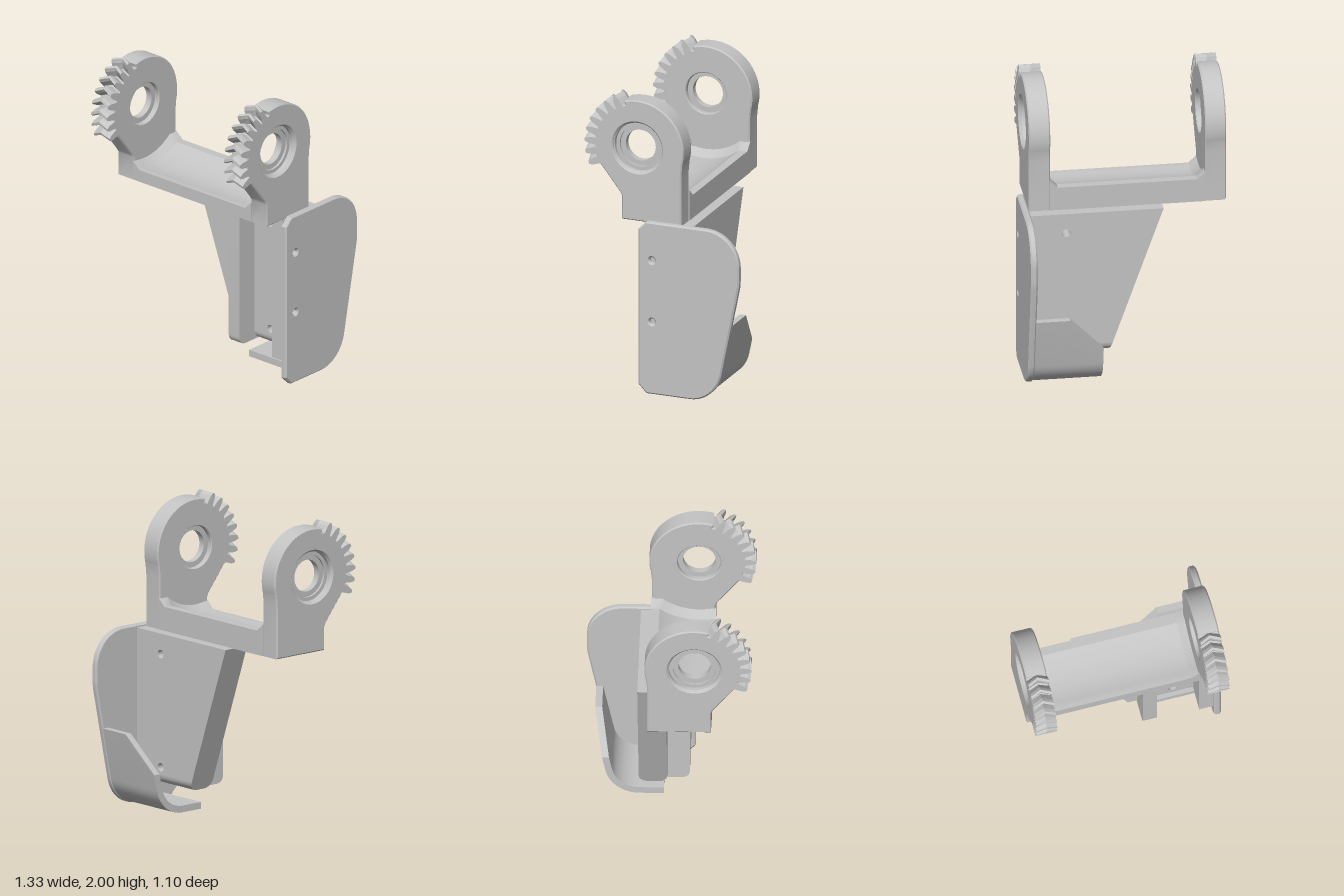
import * as THREE from 'three';
import { toCreasedNormals } from 'three/addons/utils/BufferGeometryUtils.js';

const V = (x, y, z) => new THREE.Vector3(x, y, z);
const deg = THREE.MathUtils.degToRad;
const GEAR_Z = 0.18, GEAR_Y = 1.655;
const PLATE_FRONT = -0.015, RIB_FRONT = 0.13;

// Extrude a shape drawn in (-z, y) along x, keeping its outline size.
function extrudeX(shape, x0, x1, bevel = 0) {
  const g = new THREE.ExtrudeGeometry(shape, {
    depth: x1 - x0 - 2 * bevel, bevelEnabled: bevel > 0, bevelSize: bevel,
    bevelThickness: bevel, bevelOffset: -bevel, bevelSegments: 1, curveSegments: 32,
  });
  g.translate(0, 0, x0 + bevel).rotateY(Math.PI / 2);
  return toCreasedNormals(g, 0.5);
}

// Skin closed rings of equal length and close both ends.
function loft(rings) {
  const pos = [], n = rings[0].length;
  const tri = (...pts) => pts.forEach((p) => pos.push(p.x, p.y, p.z));
  for (let i = 0; i < rings.length - 1; i++) {
    const a = rings[i], b = rings[i + 1];
    for (let j = 0; j < n; j++) {
      const k = (j + 1) % n;
      tri(a[j], b[j], b[k]);
      tri(a[j], b[k], a[k]);
    }
  }
  const cap = (ring, flip) => {
    const flat = ring.map((p) => new THREE.Vector2(p.z, p.y));
    for (const [a, b, c] of THREE.ShapeUtils.triangulateShape(flat, [])) {
      if (flip) tri(ring[a], ring[c], ring[b]);
      else tri(ring[a], ring[b], ring[c]);
    }
  };
  const clockwise = THREE.ShapeUtils.isClockWise(rings[0].map((p) => new THREE.Vector2(p.z, p.y)));
  cap(rings[0], clockwise);
  cap(rings[rings.length - 1], !clockwise);
  const g = new THREE.BufferGeometry();
  g.setAttribute('position', new THREE.Float32BufferAttribute(pos, 3));
  return toCreasedNormals(g, 0.5);
}

function circleHole(x, y, r) {
  return new THREE.Path().absarc(x, y, r, 0, Math.PI * 2, true);
}

// Round ear on a straight leg, with a stepped-down root arc where the teeth sit.
function earShape() {
  const s = new THREE.Shape();
  s.moveTo(-0.288, 1.155);
  s.lineTo(0.125, 1.155);
  s.lineTo(0.125, 1.5);
  s.absarc(-GEAR_Z, GEAR_Y, 0.322, deg(-14), deg(107), false);
  s.absarc(-GEAR_Z, GEAR_Y, 0.297, deg(107), deg(208), false);
  s.lineTo(-0.3, 1.335);
  s.lineTo(-0.288, 1.31);
  s.closePath();
  s.holes.push(circleHole(-GEAR_Z, GEAR_Y, 0.172));
  return s;
}

// One chevron tooth: extruded in two steps with the middle twisted upwards.
function toothGeometry(theta, x0, width) {
  const s = new THREE.Shape([[-0.28, -0.027], [-0.28, 0.027], [-0.345, 0.019],
    [-0.369, 0.009], [-0.369, -0.009], [-0.345, -0.019]].map((p) => new THREE.Vector2(...p)));
  const g = new THREE.ExtrudeGeometry(s, { depth: width, steps: 2, bevelEnabled: false });
  const p = g.attributes.position, v = V(0, 0, 0), axis = V(0, 0, 1);
  for (let i = 0; i < p.count; i++) {
    v.fromBufferAttribute(p, i);
    v.applyAxisAngle(axis, -deg(theta + 5 * (1 - Math.abs(2 * v.z / width - 1))));
    p.setXYZ(i, v.x, v.y, v.z);
  }
  g.translate(-GEAR_Z, GEAR_Y, x0).rotateY(Math.PI / 2);
  g.computeVertexNormals();
  return g;
}

// Bar section: trough concentric with the gear axis, with a flat lip in front.
function barRing(x, r) {
  const top = 1.31 + 0.43 - r;
  const ring = [V(x, 1.155, -0.13), V(x, top, -0.13)];
  const zs = GEAR_Z - Math.sqrt(r * r - (GEAR_Y - top) ** 2);
  for (let i = 0; i <= 16; i++) {
    const z = THREE.MathUtils.lerp(zs, 0.255, i / 16);
    ring.push(V(x, GEAR_Y - Math.sqrt(r * r - (z - GEAR_Z) ** 2), z));
  }
  ring.push(V(x, ring[ring.length - 1].y, 0.289), V(x, 1.155, 0.289));
  return ring;
}

// Curved guard section: along the floor, round the bend and up the back.
function guardRing(x, top) {
  const ring = [], inner = [], t = 0.045;
  const add = (z, y, nz, ny) => {
    ring.push(V(x, y, z));
    inner.unshift(V(x, y + ny * t, z + nz * t));
  };
  add(-0.04, 0.008, 0, 1);
  for (let i = 0; i <= 12; i++) {
    const a = deg(78 * i / 12);
    add(-0.2 - 0.222 * Math.sin(a), 0.23 - 0.222 * Math.cos(a), Math.sin(a), Math.cos(a));
  }
  add(-0.417 - (top - 0.184) * 0.208, top, 1, 0);
  return ring.concat(inner);
}

export function createModel() {
  const group = new THREE.Group();
  const grey = new THREE.MeshStandardMaterial({ color: 0xc4c4c4, side: THREE.DoubleSide });
  grey.name = 'plain grey';
  const add = (name, geometry, parent = group) => {
    const m = new THREE.Mesh(geometry, grey);
    m.name = name;
    parent.add(m);
  };

  // Two geared ears with stepped bearing seats
  const seat = [[0.184, 0], [0.145, 0], [0.14, 0.006], [0.14, 0.035], [0.105, 0.035],
    [0.105, 0.08], [0.14, 0.08], [0.14, 0.095], [0.165, 0.095], [0.165, 0.12], [0.176, 0.131]]
    .map((p) => new THREE.Vector2(...p));
  for (const [name, x0, x1, side] of [['leftEar', 0.48, 0.62, 1], ['rightEar', -0.667, -0.53, -1]]) {
    const ear = new THREE.Group();
    ear.name = name;
    group.add(ear);
    add('earBody', extrudeX(earShape(), x0, x1, 0.008), ear);
    const ring = new THREE.LatheGeometry(seat, 48).rotateZ(-side * Math.PI / 2);
    ring.translate(side > 0 ? x0 : x1, GEAR_Y, GEAR_Z);
    add('bearingSeat', toCreasedNormals(ring.toNonIndexed(), 0.5), ear);
    for (let i = 0; i < 8; i++) add('gearTooth', toothGeometry(64 - 12.5 * i, x0, x1 - x0), ear);
  }

  // Cross bar, flaring up where it meets the ears
  add('crossBar', loft([barRing(-0.535, 0.375), barRing(-0.48, 0.425), barRing(0.43, 0.425), barRing(0.485, 0.375)]));

  // Tapered mounting plate with two screw holes
  const leftEdge = (y) => 0.1 - 0.355 * (y - 0.17);
  const plate = new THREE.Shape([[leftEdge(0.22), 0.22], [0.62, 0.22], [0.62, 1.156], [leftEdge(1.156), 1.156]]
    .map((p) => new THREE.Vector2(...p)));
  for (const y of [1.02, 0.27]) plate.holes.push(circleHole(0.385, y, 0.028));
  const plateGeo = new THREE.ExtrudeGeometry(plate, { depth: PLATE_FRONT + 0.2, bevelEnabled: false, curveSegments: 16 });
  add('mountingPlate', toCreasedNormals(plateGeo.translate(0, 0, -0.2), 0.5));

  // Rounded lower edge of the plate
  const foot = [];
  for (const [zc, start] of [[-0.14, Math.PI], [PLATE_FRONT - 0.06, Math.PI * 1.5]]) {
    for (let i = 0; i <= 8; i++) {
      const a = start + Math.PI / 2 * i / 8;
      foot.push([zc + 0.06 * Math.cos(a), 0.22 + 0.06 * Math.sin(a)]);
    }
  }
  add('plateFoot', loft([foot.map(([z, y]) => V(leftEdge(y), y, z)), foot.map(([z, y]) => V(0.62, y, z))]));

  // Channel ribs on the front of the plate
  const rib = new THREE.Shape();
  rib.moveTo(0.06, 0.16);
  rib.lineTo(0.06, 1.156);
  rib.lineTo(-RIB_FRONT, 1.156);
  rib.lineTo(-RIB_FRONT, 0.22);
  rib.quadraticCurveTo(-RIB_FRONT, 0.16, 0.06 - RIB_FRONT, 0.16);
  add('innerRib', extrudeX(rib, 0.15, 0.245));
  const outerRib = new THREE.BoxGeometry(0.095, 0.996, RIB_FRONT + 0.05);
  add('outerRib', outerRib.translate(0.5725, 0.658, (RIB_FRONT - 0.05) / 2));

  // Side wall with two screw holes
  const wall = new THREE.Shape();
  wall.moveTo(-0.1, 0);
  wall.lineTo(0.2, 0);
  wall.bezierCurveTo(0.31, 0, 0.4, 0.08, 0.422, 0.19);
  wall.lineTo(0.543, 0.79);
  wall.quadraticCurveTo(0.548, 0.82, 0.548, 0.85);
  wall.lineTo(0.548, 0.94);
  wall.absarc(0.313, 0.94, 0.235, 0, Math.PI / 2, false);
  wall.lineTo(-0.1, 1.175);
  wall.lineTo(-0.155, 1.12);
  wall.lineTo(-0.155, 0.057);
  wall.closePath();
  for (const y of [0.915, 0.495]) wall.holes.push(circleHole(-0.06, y, 0.02));
  add('sideWall', extrudeX(wall, 0.619, 0.665, 0.01));

  // Curved lower guard with a sloped free edge
  add('lowerGuard', loft([guardRing(0.175, 0.29), guardRing(0.4, 0.53), guardRing(0.622, 0.53)]));

  return group;
}
